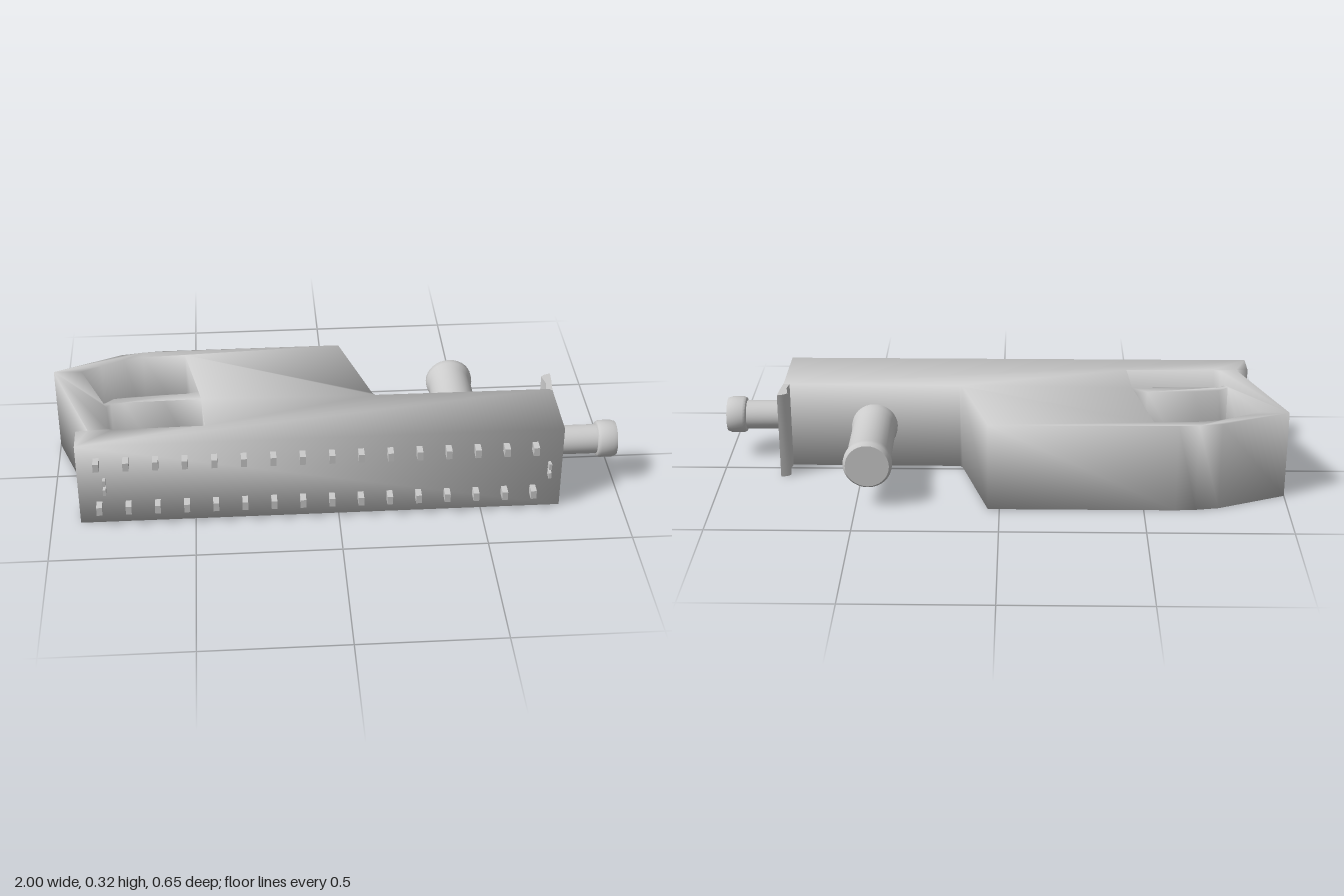
import * as THREE from 'three';
import { toCreasedNormals } from 'three/addons/utils/BufferGeometryUtils.js';

const material = new THREE.MeshStandardMaterial({ color: 0xcccccc });
const HEIGHT = 0.318, MID = 0.16, FRONT = 0.288;

// Points are [x, z] in plan; the plan is raised along y.
const toVectors = (points) => points.map(([x, z]) => new THREE.Vector2(x, -z));

function raisePlan(outline, holes, y0, y1, crease) {
  const shape = new THREE.Shape(toVectors(outline));
  for (const hole of holes) shape.holes.push(new THREE.Path(toVectors(hole)));
  const geometry = new THREE.ExtrudeGeometry(shape, { depth: y1 - y0, bevelEnabled: false });
  geometry.rotateX(-Math.PI / 2).translate(0, y0, 0);
  return toCreasedNormals(geometry, crease);
}

// Profile points are [radius, distance along the axis].
function turned(profile) {
  const points = profile.map(([r, d]) => new THREE.Vector2(r, d));
  return toCreasedNormals(new THREE.LatheGeometry(points, 32), 0.9);
}

export function createModel() {
  const model = new THREE.Group();
  const add = (name, geometry, parent = model) => {
    const mesh = new THREE.Mesh(geometry, material);
    mesh.name = name;
    parent.add(mesh);
    return mesh;
  };

  // Body slab with two openings right through it
  const outline = [
    [-0.9, FRONT], [0.78, FRONT], [0.78, 0.028], [0.148, 0.026], [0.138, 0.012],
    [0.04, -0.327], [-0.61, -0.327], [-0.68, -0.322], [-0.76, -0.308],
    [-1, -0.206], [-0.858, 0.19], [-0.9, 0.192],
  ];
  const upperOpening = [
    [-0.9, -0.2], [-0.83, -0.236], [-0.75, -0.275], [-0.68, -0.288], [-0.527, -0.294],
    [-0.478, -0.037], [-0.52, -0.026], [-0.69, -0.02], [-0.775, -0.008], [-0.81, 0.022],
  ];
  const lowerOpening = [
    [-0.8, 0.045], [-0.785, 0.025], [-0.74, 0.018], [-0.6, 0.016], [-0.468, 0.012],
    [-0.457, 0.185], [-0.775, 0.19], [-0.795, 0.18],
  ];
  add('body', raisePlan(outline, [upperOpening, lowerOpening], 0, HEIGHT, 1.6));

  // Curved trigger in the lower opening
  add('trigger', raisePlan([
    [-0.778, 0.075], [-0.75, 0.068], [-0.7, 0.05], [-0.713, 0.085],
    [-0.716, 0.125], [-0.703, 0.188], [-0.778, 0.192],
  ], [], 0.1, 0.218, 0.7));

  // Thin curved flap at the back of the nozzle end
  add('rearFlap', raisePlan([
    [0.757, 0.035], [0.764, -0.01], [0.755, -0.058], [0.768, -0.07], [0.79, -0.077],
    [0.787, -0.03], [0.78, 0.035],
  ], [], 0, HEIGHT, 0.7));

  // Round grip reaching backwards
  const grip = add('grip', turned([
    [0, 0], [0.082, 0], [0.082, 0.03], [0.077, 0.05], [0.077, 0.295],
    [0.085, 0.325], [0.085, 0.345], [0.076, 0.357], [0, 0.357],
  ]));
  grip.rotation.x = -Math.PI / 2;
  grip.position.set(0.455, MID, 0.03);

  // Nozzle with a wider tip
  const nozzle = add('nozzle', turned([
    [0, 0], [0.052, 0], [0.052, 0.15], [0.062, 0.153], [0.066, 0.163],
    [0.066, 0.205], [0.061, 0.22], [0, 0.22],
  ]));
  nozzle.rotation.z = -Math.PI / 2;
  nozzle.position.set(0.78, MID, 0.12);

  // Two rows of pegs along the front
  const pegs = new THREE.Group();
  pegs.name = 'frontPegs';
  model.add(pegs);
  const pegGeometry = new THREE.BoxGeometry(0.02, 0.032, 0.06);
  for (const y of [0.072, 0.253]) {
    for (let i = 0; i < 16; i++) {
      add('peg', pegGeometry, pegs).position.set(-0.83 + i * 0.1007, y, FRONT + 0.01);
    }
  }

  // Pairs of small tapered lugs at both ends of the front
  const lugShape = new THREE.Shape(toVectors([
    [0.27, -0.002], [0.315, -0.007], [0.315, -0.03], [0.27, -0.022],
  ]));
  const lugGeometry = new THREE.ExtrudeGeometry(lugShape, { depth: 0.01, bevelEnabled: false });
  lugGeometry.translate(0, 0, -0.005).rotateY(-Math.PI / 2);
  const mirrored = lugGeometry.clone().rotateZ(Math.PI);
  for (const x of [-0.808, 0.735]) {
    add('lug', lugGeometry, pegs).position.set(x, MID, 0);
    add('lug', mirrored, pegs).position.set(x, MID, 0);
  }

  return model;
}
